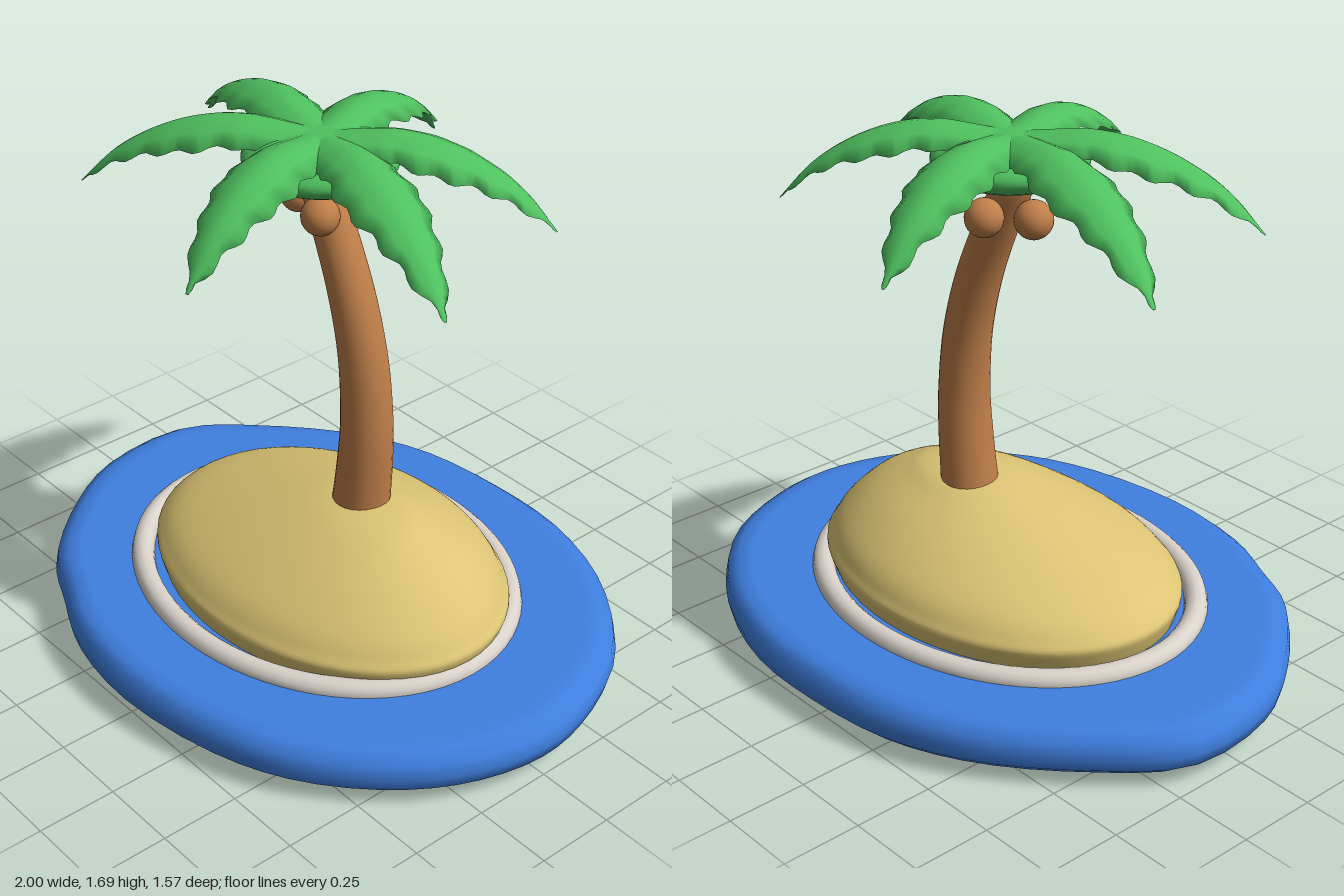
import * as THREE from 'three';

const paint = (name, color) => {
  const m = new THREE.MeshStandardMaterial({ color });
  m.name = name;
  return m;
};

// Skin a list of closed rings (each an equal-length array of Vector3)
function loft(rings) {
  const n = rings[0].length, pos = [], idx = [];
  rings.forEach(r => r.forEach(p => pos.push(p.x, p.y, p.z)));
  for (let i = 0; i < rings.length - 1; i++) {
    for (let j = 0; j < n; j++) {
      const a = i * n + j, c = i * n + (j + 1) % n;
      idx.push(a, a + n, c, c, a + n, c + n);
    }
  }
  const g = new THREE.BufferGeometry();
  g.setAttribute('position', new THREE.Float32BufferAttribute(pos, 3));
  g.setIndex(idx);
  g.computeVertexNormals();
  return g;
}

// Body from horizontal ellipses, rows of [y, minX, maxX, minZ, maxZ], bottom to top
function stack(rows, steps, sides) {
  const spline = f => new THREE.CatmullRomCurve3(rows.map(f), false, 'catmullrom');
  const sx = spline(([y, x0, x1]) => new THREE.Vector3(y, (x0 + x1) / 2, (x1 - x0) / 2));
  const sz = spline(([, , , z0, z1]) => new THREE.Vector3((z0 + z1) / 2, (z1 - z0) / 2, 0));
  const rings = [];
  for (let i = 0; i <= steps; i++) {
    const a = sx.getPoint(i / steps), b = sz.getPoint(i / steps);
    rings.push(Array.from({ length: sides }, (_, j) => {
      const t = j / sides * Math.PI * 2;
      return new THREE.Vector3(a.y + Math.cos(t) * a.z, a.x, b.x + Math.sin(t) * b.y);
    }));
  }
  return loft(rings);
}

// Irregular slab of water with bevelled rim
function seaGeometry() {
  const shore = [[1, 0], [0.95, 0.22], [0.83, 0.42], [0.62, 0.61], [0.38, 0.72], [0, 0.78],
    [-0.3, 0.74], [-0.48, 0.66], [-0.65, 0.575], [-0.85, 0.36], [-0.97, 0.14], [-0.985, -0.18],
    [-0.8, -0.42], [-0.55, -0.63], [-0.3, -0.745], [0, -0.785], [0.3, -0.77], [0.6, -0.66],
    [0.85, -0.45], [0.97, -0.2]];
  const curve = new THREE.CatmullRomCurve3(shore.map(([x, z]) => new THREE.Vector3(x, 0, z)), true);
  const edge = curve.getPoints(64).slice(0, 64);
  const profile = [[0, 0.022], [0.5, 0.022], [0.9, 0.022], [0.95, 0.03], [0.99, 0.06], [1, 0.1],
    [0.99, 0.145], [0.95, 0.172], [0.9, 0.178], [0.5, 0.178], [0, 0.178]];
  return loft(profile.map(([s, y]) => edge.map(p => new THREE.Vector3(p.x * s, y, p.z * s))));
}

// Drooping leaf along +z with ragged edges and an arched, closed section
function leafGeometry(length, drop) {
  const width = new THREE.SplineCurve([[0, 0.1], [0.2, 0.1], [0.4, 0.105], [0.6, 0.115],
    [0.78, 0.09], [0.9, 0.055], [1, 0.004]].map(p => new THREE.Vector2(...p)));
  const spine = new THREE.SplineCurve([[0, -0.025], [0.15, -0.01], [0.32, 0], [0.5, -0.02],
    [0.68, -0.07], [0.85, -0.15], [1, -drop]].map(p => new THREE.Vector2(...p)));
  const rings = [], steps = 36;
  for (let i = 0; i <= steps; i++) {
    const t = i / steps, s = spine.getPoint(t), base = width.getPoint(t).y;
    const ring = [];
    const add = (u, thick) => {
      const ragged = t > 0.3 && t < 0.97 ? Math.sin(t * 44 + (u > 0 ? 0 : 1.5)) * 0.009 : 0;
      const w = base + ragged * Math.abs(u);
      ring.push(new THREE.Vector3(u * w, s.y - 0.5 * w * u * u - thick * (1 - u * u) * Math.min(1, base * 14),
        s.x * length));
    };
    [-1, -0.6, -0.25, 0, 0.25, 0.6, 1].forEach(u => add(u, 0));
    [0.6, 0.25, 0, -0.25, -0.6].forEach(u => add(u, 0.035));
    rings.push(ring);
  }
  // close the tip
  const tip = rings[steps][3];
  rings.push(rings[steps].map(() => tip.clone()));
  return loft(rings);
}

export function createModel() {
  const model = new THREE.Group();
  model.name = 'palmIsland';
  const blue = paint('seaBlue', 0x3f7fe0);
  const sand = paint('sandYellow', 0xdcc474);
  const white = paint('foamWhite', 0xdad3cb);
  const bark = paint('barkBrown', 0xbf7f4a);
  const green = paint('leafGreen', 0x4fc15f);
  const add = (name, geometry, material, parent = model) => {
    const mesh = new THREE.Mesh(geometry, material);
    mesh.name = name;
    parent.add(mesh);
    return mesh;
  };

  add('sea', seaGeometry(), blue);

  // Lopsided sand mound, poking slightly through the bottom of the sea
  add('sandMound', stack([
    [0, 0.03, 0.03, 0, 0],
    [0.02, -0.19, 0.25, -0.15, 0.16],
    [0.1, -0.52, 0.58, -0.4, 0.4],
    [0.22, -0.605, 0.67, -0.478, 0.468],
    [0.27, -0.59, 0.655, -0.465, 0.45],
    [0.33, -0.5, 0.61, -0.42, 0.395],
    [0.41, -0.29, 0.52, -0.31, 0.275],
    [0.47, -0.1, 0.41, -0.2, 0.16],
    [0.502, 0.03, 0.32, -0.13, 0.07],
    [0.515, 0.18, 0.18, -0.03, -0.03],
  ], 45, 56), sand);

  // Foam around the shore
  const foamPath = new THREE.CatmullRomCurve3(Array.from({ length: 24 }, (_, i) => {
    const a = i / 24 * Math.PI * 2;
    return new THREE.Vector3(0.005 + Math.cos(a) * 0.65, 0.18, -0.005 + Math.sin(a) * 0.522);
  }), true);
  add('foamRing', new THREE.TubeGeometry(foamPath, 72, 0.036, 12, true), white);

  // Curved, tapering trunk
  add('trunk', stack([
    [0.42, 0.025, 0.215, -0.145, 0.045],
    [0.5, 0.04, 0.218, -0.14, 0.04],
    [0.65, 0.06, 0.228, -0.135, 0.035],
    [0.8, 0.07, 0.228, -0.13, 0.03],
    [1.0, 0.053, 0.205, -0.124, 0.024],
    [1.2, 0.0, 0.148, -0.118, 0.02],
    [1.4, -0.085, 0.058, -0.112, 0.015],
    [1.49, -0.125, 0.005, -0.108, 0.012],
    [1.56, -0.145, -0.03, -0.1, 0.005],
  ], 40, 24), bark);

  // Coconuts
  [[0, 0.005], [-0.155, -0.045], [-0.05, -0.14]].forEach(([x, z], i) => {
    add('coconut' + (i + 1), new THREE.SphereGeometry(0.058, 24, 16), bark).position.set(x, 1.43, z);
  });

  // Leaf crown: rounded heart with six leaves reaching to their tips [x, z]
  const crown = new THREE.Group();
  crown.name = 'leafCrown';
  crown.position.set(-0.05, 1.685, -0.04);
  model.add(crown);
  const heart = add('crownHeart', new THREE.SphereGeometry(1, 32, 20), green, crown);
  heart.scale.set(0.23, 0.078, 0.23);
  heart.position.y = -0.097;
  [[-0.19, -0.62], [0.54, -0.42], [0.71, 0.17], [0.15, 0.6], [-0.6, 0.42], [-0.76, -0.18]]
    .forEach(([x, z], i) => {
      const leaf = add('leaf' + (i + 1), leafGeometry(Math.hypot(x, z), 0.265), green, crown);
      leaf.rotation.y = Math.atan2(x, z);
    });

  return model;
}
